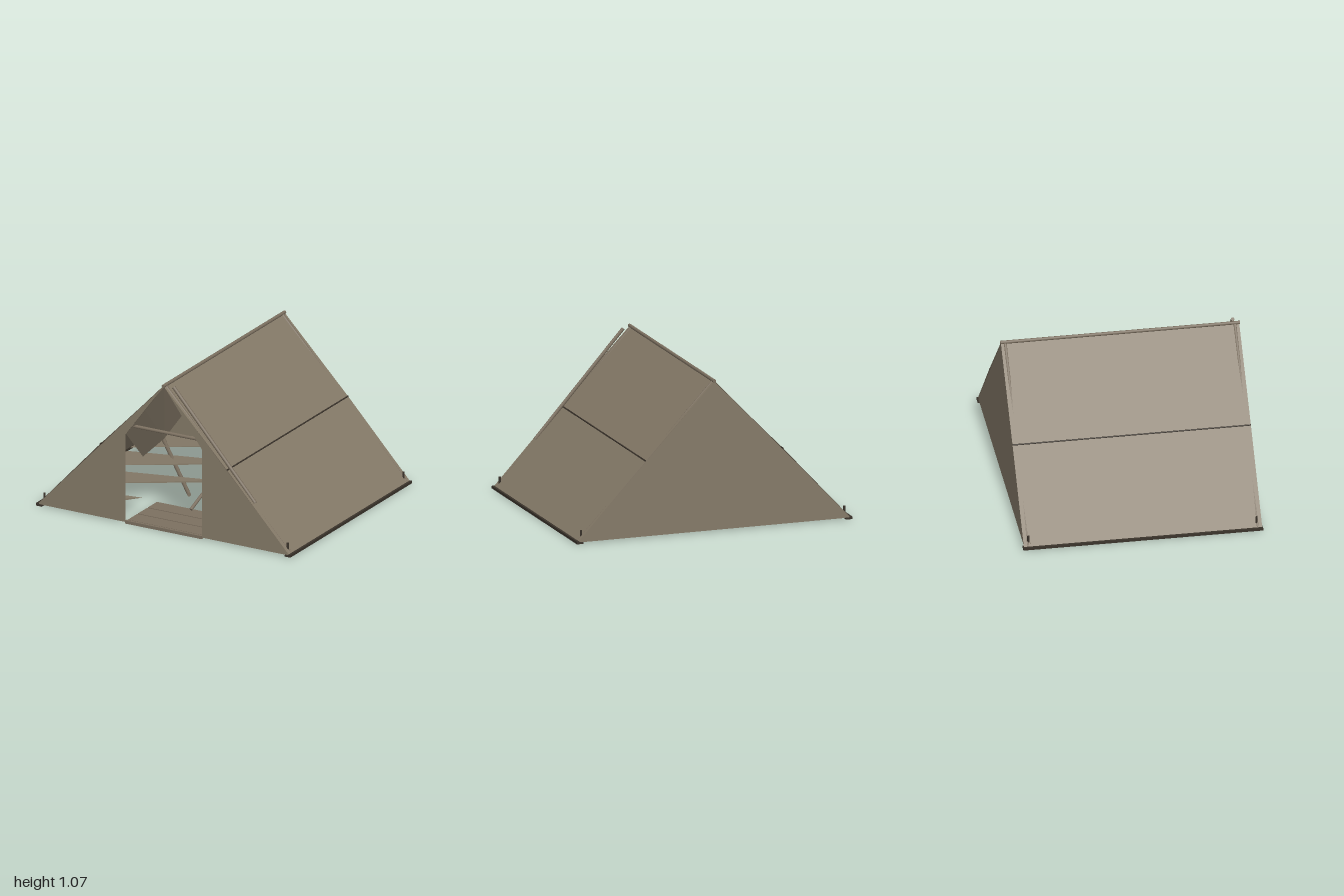
import * as THREE from 'three';

const mat = (name, color, side = THREE.FrontSide) => {
  const m = new THREE.MeshStandardMaterial({ color, side });
  m.name = name;
  return m;
};

export function createModel() {
  const group = new THREE.Group();
  const canvas = mat('canvas', 0x857a68, THREE.DoubleSide);
  const wood = mat('wood', 0x7c7060);
  const dark = mat('darkSeam', 0x3a332b);

  const add = (name, geo, m) => {
    const mesh = new THREE.Mesh(geo, m);
    mesh.name = name;
    group.add(mesh);
    return mesh;
  };
  const box = (name, m, size, pos) => add(name, new THREE.BoxGeometry(...size), m).position.set(...pos);
  // Flat-shaded strip of quads between two rows of points
  const sheet = (name, rowA, rowB, m = canvas) => {
    const p = [];
    for (let i = 0; i < rowA.length - 1; i++) {
      const [a, b, c, d] = [rowA[i], rowB[i], rowB[i + 1], rowA[i + 1]];
      p.push(...a, ...b, ...c, ...a, ...c, ...d);
    }
    const g = new THREE.BufferGeometry();
    g.setAttribute('position', new THREE.Float32BufferAttribute(p, 3));
    g.computeVertexNormals();
    return add(name, g, m);
  };
  // Round pole between two points
  const rod = (name, a, b, r, m = wood, r2 = r) => {
    const A = new THREE.Vector3(...a), B = new THREE.Vector3(...b), d = B.clone().sub(A);
    const mesh = add(name, new THREE.CylinderGeometry(r2, r, d.length(), 8), m);
    mesh.position.copy(A).add(B).multiplyScalar(0.5);
    mesh.quaternion.setFromUnitVectors(new THREE.Vector3(0, 1, 0), d.normalize());
  };
  const wall = (name, points, z) => {
    const s = new THREE.Shape(points.map(([x, y]) => new THREE.Vector2(x, y)));
    add(name, new THREE.ShapeGeometry(s), canvas).position.z = z;
  };

  const Z = 0.82, top = 1.055;

  // Closed back wall
  wall('backWall', [[-0.99, 0.012], [0.99, 0.012], [0, top]], -0.815);

  for (const s of [-1, 1]) {
    // Sloping roof with a seam halfway and a pole at the eave
    sheet('roofPanel', [[0, top, Z], [s * 0.5, 0.54, Z], [s * 0.99, 0.012, Z]],
      [[0, top, -Z], [s * 0.5, 0.54, -Z], [s * 0.99, 0.012, -Z]]);
    rod('roofSeam', [s * 0.499, 0.542, Z], [s * 0.499, 0.542, -Z], 0.005, dark);
    box('eavePole', dark, [0.018, 0.018, 1.65], [s * 0.99, 0.012, 0]);

    // Front wall beside the doorway
    wall('frontWall', [[s * 0.99, 0.012], [s * 0.3, 0.012], [s * 0.3, 0.65], [0, top]], 0.815);

    // Door flap folded back inside
    sheet('doorFlap', [[0, 1.05, 0.81], [s * 0.15, 0.85, 0.81], [s * 0.3, 0.65, 0.81]],
      [[0, 0.78, 0.52], [s * 0.15, 0.56, 0.55], [s * 0.3, 0.41, 0.58]]);

    for (const e of [-1, 1]) {
      // Frame legs under the canvas, corner feet and pegs
      rod('frameLeg', [0, 1.048, e * 0.79], [s * 0.97, 0.02, e * 0.79], 0.012);
      box('cornerFoot', dark, [0.045, 0.012, 0.03], [s * 0.975, 0.008, e * 0.81]);
      rod('cornerPeg', [s * 0.955, 0.01, e * 0.785], [s * 0.955, 0.09, e * 0.785], 0.008, dark);
    }

    // Tilted floor slats, wide at the eave and rising to the middle
    for (let i = 0; i < 4; i++) {
      const z = -0.6 + i * 0.4;
      const reach = i === 3 ? 0.35 : 0;
      const y = 0.012 + 0.175 * (1 - reach);
      sheet('floorSlat', [[s * 0.98, 0.02, z + 0.18], [s * reach, y, z + 0.1]],
        [[s * 0.98, 0.008, z - 0.18], [s * reach, y - 0.05, z - 0.1]]);
    }
  }

  // Ridge pole and cross braces
  rod('ridgePole', [0, 1.057, 0.825], [0, 1.057, -0.825], 0.012);
  for (const e of [-1, 1]) rod('crossBrace', [-0.27, 0.71, e * 0.79], [0.27, 0.71, e * 0.79], 0.012);

  // Boards behind the doorway and the sill
  for (let i = 0; i < 3; i++) box('doorBoard', wood, [0.58, 0.018, 0.125], [0, 0.018, 0.74 - i * 0.135]);
  box('doorSill', wood, [0.6, 0.022, 0.02], [0, 0.014, 0.812]);

  // Loose poles lying inside
  rod('loosePole', [0.96, 0.03, 0.78], [0.15, 0.08, -0.28], 0.014);
  rod('loosePole', [-0.96, 0.03, -0.78], [-0.1, 0.08, 0.3], 0.014);
  rod('looseStick', [0, 0.04, 0.45], [0.06, 0.2, 0.25], 0.012);
  rod('looseStick', [-0.4, 0.07, -0.5], [-0.02, 0.06, -0.1], 0.014);

  // Pole leaning along the outside of the roof
  rod('leaningPole', [0.06, 1.05, 0.785], [0.7, 0.33, 0.785], 0.013);

  return group;
}
